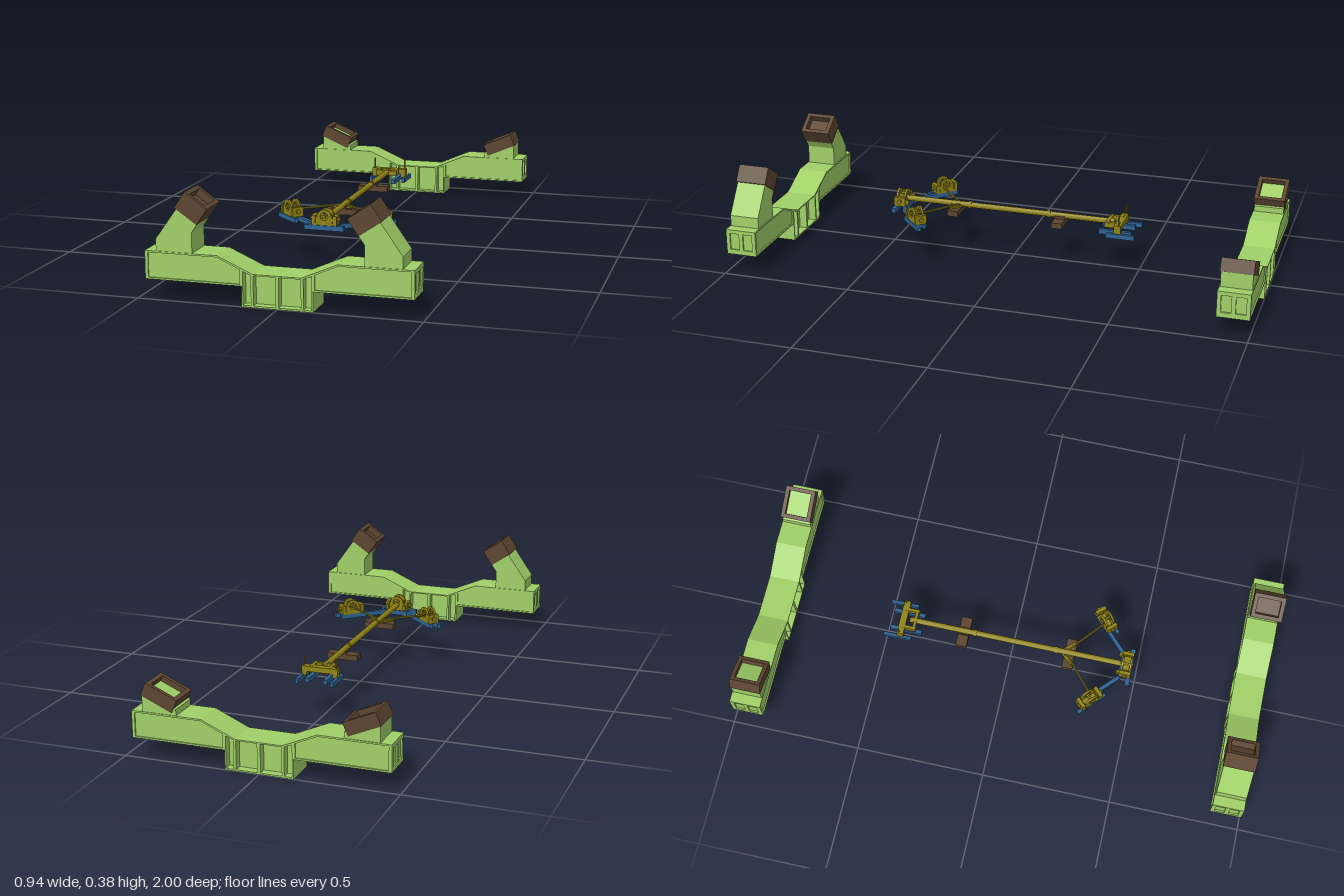
import * as THREE from 'three';

const mat = (color) => new THREE.MeshStandardMaterial({ color, flatShading: true });
const green = mat(0xa0d068), brown = mat(0x5c4530), yellow = mat(0x8f8214), blue = mat(0x2f6496);

function add(parent, name, geo, m, x = 0, y = 0, z = 0) {
  const mesh = new THREE.Mesh(geo, m);
  mesh.name = name;
  mesh.position.set(x, y, z);
  parent.add(mesh);
  return mesh;
}
const box = (p, name, m, w, h, d, x, y, z) => add(p, name, new THREE.BoxGeometry(w, h, d), m, x, y, z);

function group(parent, name, x = 0, y = 0, z = 0) {
  const g = new THREE.Group();
  g.name = name;
  g.position.set(x, y, z);
  parent.add(g);
  return g;
}

// Round bar between two points
function rod(p, name, m, a, b, r, sides = 8) {
  const A = new THREE.Vector3(...a), B = new THREE.Vector3(...b);
  const dir = B.clone().sub(A);
  const mesh = add(p, name, new THREE.CylinderGeometry(r, r, dir.length(), sides), m);
  mesh.position.copy(A).add(B).multiplyScalar(0.5);
  mesh.quaternion.setFromUnitVectors(new THREE.Vector3(0, 1, 0), dir.normalize());
  return mesh;
}

// Extruded outline, centred on its depth
const points = (list) => list.map(([x, y]) => new THREE.Vector2(x, y));
function slab(outline, depth, holes = []) {
  const shape = new THREE.Shape(points(outline));
  for (const h of holes) shape.holes.push(new THREE.Path(points(h)));
  const geo = new THREE.ExtrudeGeometry(shape, { depth, bevelEnabled: false, curveSegments: 8 });
  return geo.translate(0, 0, -depth / 2);
}
const rect = (x0, y0, x1, y1) => [[x0, y0], [x1, y0], [x1, y1], [x0, y1]];
const flip = (list) => list.map(([x, y]) => [-x, y]).reverse();

// Cradle beam with recessed panels
function cradleBeam(parent, name, z) {
  const g = group(parent, name, 0, 0, z);
  const half = [[0.125, 0], [0.125, 0.071], [0.464, 0.071], [0.464, 0.17], [0.21, 0.17], [0.085, 0.115]];
  const outline = [...half, ...flip(half)];
  const panel = [[0.131, 0.077], [0.459, 0.077], [0.459, 0.164], [0.212, 0.164], [0.131, 0.128]];
  const outer = [[0.092, 0.006], [0.12, 0.006], [0.12, 0.123], [0.092, 0.111]];
  const inner = rect(0.006, 0.006, 0.083, 0.11);
  const holes = [panel, outer, inner].flatMap((h) => [h, flip(h)]);
  add(g, 'beamFrame', slab(outline, 0.12, holes), green);
  box(g, 'middleWeb', green, 0.24, 0.108, 0.06, 0, 0.058, 0);
  for (const s of [1, -1]) {
    add(g, 'sideWeb', slab(s > 0 ? panel : flip(panel), 0.11), green);
    const end = slab(rect(-0.06, 0.071, 0.06, 0.17), 0.006,
      [rect(-0.045, 0.09, -0.008, 0.155), rect(0.008, 0.09, 0.045, 0.155)]);
    add(g, 'endPlate', end, green, s * 0.467).rotation.y = Math.PI / 2;
  }
  return g;
}

// Open-topped pad: four walls around a floor
function pad(parent, s, x, y, angle, w, h, floorMat) {
  const g = group(parent, 'pad', s * x, y, 0);
  g.rotation.z = s * angle;
  const t = 0.016;
  for (const k of [1, -1]) {
    box(g, 'padSide', brown, t, h, 0.12, k * (w - t) / 2, 0, 0);
    box(g, 'padEnd', brown, w - 2 * t, h, t, 0, 0, k * (0.12 - t) / 2);
  }
  box(g, 'padFloor', floorMat, w - 2 * t, h * 0.6, 0.12 - 2 * t, 0, -h * 0.2, 0);
}

function cradle(parent, name, z, arm, padArgs) {
  const g = cradleBeam(parent, name, z);
  for (const s of [1, -1]) {
    add(g, 'arm', slab(s > 0 ? arm : flip(arm), 0.114), green);
    pad(g, s, ...padArgs);
  }
}

// Clamp with a domed saddle, jaws and screws, length along local x
function clamp(parent, name, x, z, angle, y = 0.165) {
  const g = group(parent, name, x, y, z);
  g.rotation.y = angle;
  const saddle = new THREE.Shape();
  saddle.moveTo(-0.03, 0);
  saddle.lineTo(0.03, 0);
  saddle.lineTo(0.03, 0.03);
  saddle.absarc(0, 0.03, 0.028, 0, Math.PI, false);
  saddle.lineTo(-0.03, 0.03);
  const eye = new THREE.Path();
  eye.absarc(0, 0.032, 0.015, 0, Math.PI * 2, true);
  saddle.holes.push(eye);
  const plate = new THREE.ExtrudeGeometry(saddle, { depth: 0.008, bevelEnabled: false, curveSegments: 5 });
  for (const k of [1, -1]) {
    add(g, 'saddlePlate', plate, yellow, 0, 0, k * 0.016 - 0.004);
    box(g, 'jaw', yellow, 0.014, 0.034, 0.045, k * 0.04, 0.019, 0);
    rod(g, 'screw', yellow, [k * 0.028, 0.02, 0], [k * 0.055, 0.02, 0], 0.009);
  }
  box(g, 'clampBase', yellow, 0.09, 0.008, 0.04, 0, 0.004, 0);
  rod(g, 'pivot', yellow, [0, 0.032, -0.025], [0, 0.032, 0.025], 0.007);
  return g;
}

export function createModel() {
  const model = new THREE.Group();
  model.name = 'cradleSet';

  // Front cradle with tall inclined arms, rear cradle with low ones
  cradle(model, 'frontCradle', 0.94,
    [[0.30, 0.17], [0.43, 0.17], [0.43, 0.212], [0.349, 0.326], [0.276, 0.277], [0.30, 0.242]],
    [0.301, 0.325, 0.6, 0.096, 0.068, brown]);
  cradle(model, 'rearCradle', -0.94,
    [[0.303, 0.17], [0.43, 0.17], [0.43, 0.235], [0.415, 0.24], [0.303, 0.192]],
    [0.366, 0.227, 0.41, 0.126, 0.05, green]);

  // Long bar with wooden rests
  const frame = group(model, 'barFrame');
  rod(frame, 'mainBar', yellow, [0, 0.187, -0.4], [0, 0.187, 0.45], 0.011, 12);
  for (const z of [-0.14, 0.18]) rod(frame, 'collar', yellow, [0, 0.187, z - 0.006], [0, 0.187, z + 0.006], 0.014, 12);
  for (const z of [-0.185, 0.235]) {
    box(frame, 'woodRest', brown, 0.12, 0.022, 0.042, 0, 0.165, z);
    box(frame, 'restClip', brown, 0.03, 0.014, 0.042, 0, 0.18, z);
  }
  const gusset = slab([[-0.05, -0.25], [0.05, -0.25], [0.012, -0.205], [-0.012, -0.205]], 0.006);
  add(frame, 'gusset', gusset, yellow, 0, 0.182, 0).rotation.x = -Math.PI / 2;

  // Front end: middle clamp and runner
  box(frame, 'frontRunner', blue, 0.15, 0.018, 0.018, 0, 0.156, 0.473);
  box(frame, 'frontRunner', blue, 0.09, 0.018, 0.014, 0, 0.156, 0.44);
  const middle = clamp(frame, 'frontClamp', 0, 0.458, 0);
  box(middle, 'frontHousing', yellow, 0.055, 0.035, 0.03, 0, 0.018, 0);

  for (const s of [1, -1]) {
    // Diagonal side runners, clamps and struts
    const turn = s * 0.76;
    const side = group(frame, 'sideRunners', s * 0.165, 0.156, 0.345);
    side.rotation.y = turn;
    box(side, 'longRunner', blue, 0.2, 0.018, 0.014, -s * 0.05, 0, -0.012);
    box(side, 'shortRunner', blue, 0.13, 0.018, 0.014, 0, 0, 0.016);
    clamp(frame, 'sideClamp', s * 0.165, 0.345, turn);
    rod(frame, 'strut', yellow, [s * 0.008, 0.187, 0.225], [s * 0.15, 0.187, 0.345], 0.0045);
    box(frame, 'frontFork', yellow, 0.01, 0.02, 0.055, s * 0.036, 0.182, 0.45);

    // Rear runners, uprights and fork
    box(frame, 'rearInnerRunner', blue, 0.015, 0.018, 0.125, s * 0.035, 0.156, -0.41);
    box(frame, 'rearOuterRunner', blue, 0.012, 0.018, 0.11, s * 0.068, 0.156, -0.437);
    rod(frame, 'rearUpright', yellow, [s * 0.063, 0.156, -0.43], [s * 0.063, 0.236, -0.43], 0.003, 6);
    box(frame, 'rearFork', yellow, 0.012, 0.022, 0.06, s * 0.036, 0.187, -0.4);
    box(frame, 'rearBlock', yellow, 0.018, 0.035, 0.026, s * 0.06, 0.18, -0.425);
  }
  box(frame, 'rearCrossbar', yellow, 0.14, 0.02, 0.026, 0, 0.187, -0.425);
  box(frame, 'rearFlange', yellow, 0.085, 0.02, 0.012, 0, 0.187, -0.378);
  return model;
}
